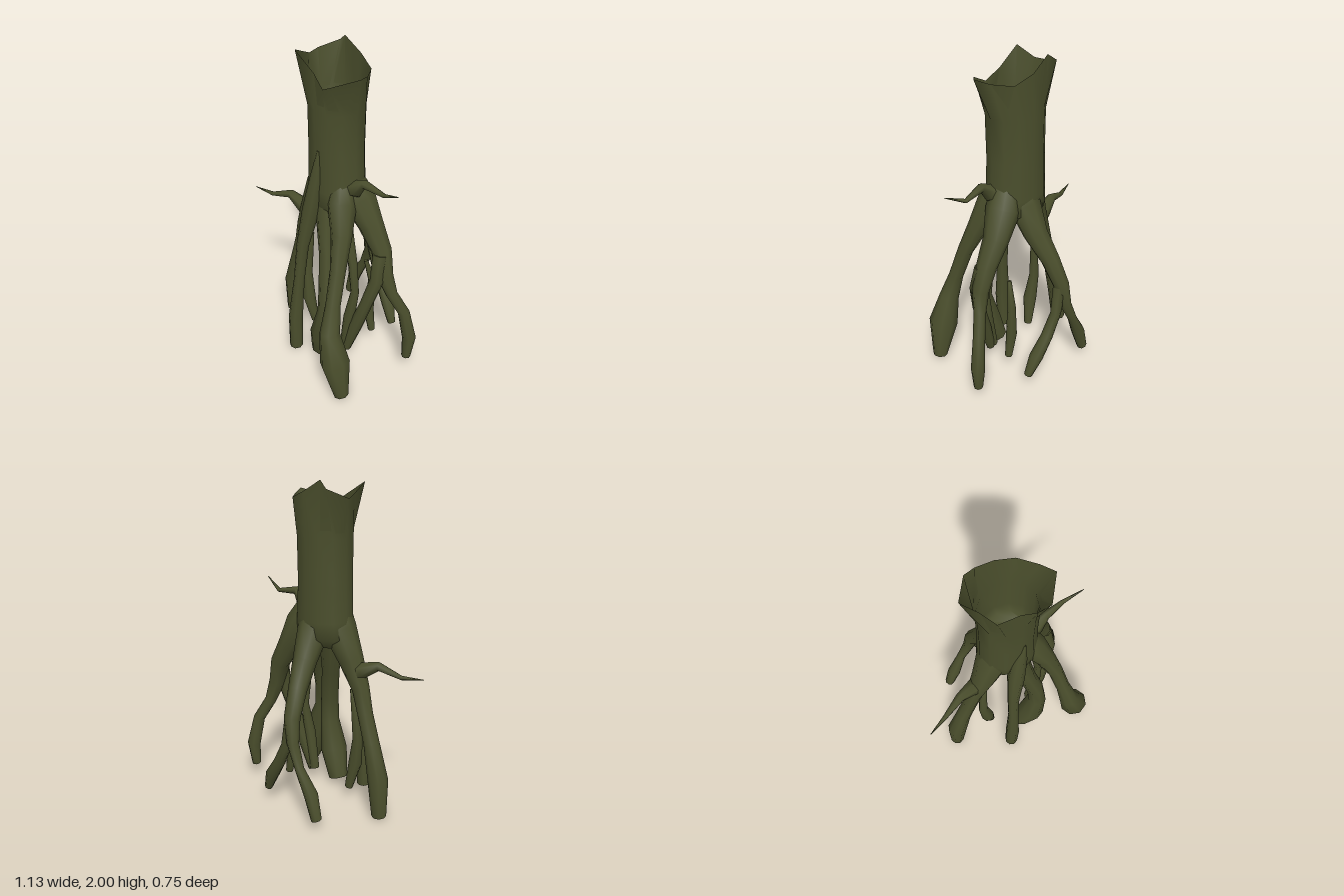
import * as THREE from 'three';

const bark = new THREE.MeshStandardMaterial({ color: 0x4a4e2c, side: THREE.DoubleSide });
bark.name = 'mossy bark';

const V = (x, y, z) => new THREE.Vector3(x, y, z);

// Skin a list of equal-sized rings, optionally closing either end with a flat cap
function loft(name, rings, capStart, capEnd) {
  const pos = [], idx = [], n = rings[0].length;
  const add = (ring) => ring.forEach((p) => pos.push(p.x, p.y, p.z));
  rings.forEach(add);
  for (let i = 0; i < rings.length - 1; i++) {
    for (let j = 0; j < n; j++) {
      const a = i * n + j, b = i * n + ((j + 1) % n);
      idx.push(a, b, a + n, b, b + n, a + n);
    }
  }
  const cap = (ring, flip) => {
    const base = pos.length / 3;
    add(ring);
    const c = ring.reduce((s, p) => s.add(p), V(0, 0, 0)).divideScalar(n);
    pos.push(c.x, c.y, c.z);
    for (let j = 0; j < n; j++) {
      const a = base + j, b = base + ((j + 1) % n);
      if (flip) idx.push(b, a, base + n);
      else idx.push(a, b, base + n);
    }
  };
  if (capStart) cap(rings[0], true);
  if (capEnd) cap(rings[rings.length - 1], false);
  const geo = new THREE.BufferGeometry();
  geo.setAttribute('position', new THREE.Float32BufferAttribute(pos, 3));
  geo.setIndex(idx);
  geo.computeVertexNormals();
  const mesh = new THREE.Mesh(geo, bark);
  mesh.name = name;
  return mesh;
}

// Tapering limb through [x, y, z, radius] stations
function limb(name, stations, sides = 8) {
  const pts = stations.map((s) => V(s[0], s[1], s[2]));
  const rings = pts.map((p, i) => {
    const before = pts[Math.max(i - 1, 0)], after = pts[Math.min(i + 1, pts.length - 1)];
    const t = after.clone().sub(before).normalize();
    const ref = Math.abs(t.y) > 0.6 ? V(0, 0, 1) : V(0, 1, 0);
    const u = ref.addScaledVector(t, -ref.dot(t)).normalize();
    const v = t.clone().cross(u);
    return Array.from({ length: sides }, (_, j) => {
      const a = (j / sides) * Math.PI * 2, r = stations[i][3];
      return p.clone().addScaledVector(u, Math.cos(a) * r).addScaledVector(v, Math.sin(a) * r);
    });
  });
  return loft(name, rings, true, true);
}

// Horizontal trunk ring
const level = (y, cx, cz, rx, rz) => Array.from({ length: 12 }, (_, j) => {
  const a = (j / 12) * Math.PI * 2;
  return V(cx + Math.sin(a) * rx, y, cz + Math.cos(a) * rz);
});

// Jagged broken edge, from the front round by the left
const rim = [
  [0.04, 1.88, 0.14], [0.13, 1.825, 0.15], [0.2, 1.86, 0.16], [0.295, 1.905, 0.04],
  [0.25, 1.89, -0.04], [0.17, 1.885, -0.13], [0.06, 1.93, -0.15], [-0.055, 2.0, -0.13],
  [-0.11, 1.96, -0.14], [-0.19, 1.91, -0.05], [-0.13, 1.92, 0.05], [-0.1, 1.97, 0.16],
].map((p) => V(...p));

const roots = {
  frontLeftRoot: [[0.14, 1.27, 0.02, 0.07], [0.18, 1.14, 0.06, 0.085], [0.245, 0.98, 0.11, 0.062], [0.3, 0.8, 0.175, 0.046],
    [0.335, 0.6, 0.235, 0.044], [0.365, 0.43, 0.28, 0.06], [0.42, 0.25, 0.285, 0.09], [0.47, 0.01, 0.275, 0.045]],
  rightRoot: [[0.0, 1.28, 0.02, 0.09], [-0.05, 1.14, 0.02, 0.1], [-0.125, 0.97, 0.04, 0.075], [-0.2, 0.8, 0.05, 0.052],
    [-0.24, 0.65, 0.05, 0.046], [-0.295, 0.48, 0.05, 0.048], [-0.355, 0.25, 0.05, 0.062], [-0.37, 0.01, 0.05, 0.045]],
  frontRoot: [[0.075, 1.45, 0.145, 0.006], [0.055, 1.28, 0.135, 0.042], [0.02, 1.05, 0.16, 0.052], [-0.015, 0.8, 0.2, 0.037],
    [-0.025, 0.55, 0.225, 0.033], [-0.04, 0.25, 0.25, 0.045], [-0.045, 0.01, 0.25, 0.042]],
  middleRoot: [[0.06, 1.22, 0.04, 0.08], [0.08, 1.02, 0.08, 0.075], [0.13, 0.8, 0.12, 0.055], [0.175, 0.6, 0.155, 0.055],
    [0.19, 0.42, 0.17, 0.06], [0.155, 0.22, 0.172, 0.085], [0.09, 0.04, 0.15, 0.06]],
  leftRoot: [[0.13, 1.27, -0.02, 0.08], [0.19, 1.14, -0.05, 0.1], [0.27, 0.99, -0.08, 0.075], [0.355, 0.85, -0.095, 0.06],
    [0.4, 0.7, -0.09, 0.05], [0.435, 0.57, -0.12, 0.036], [0.49, 0.44, -0.175, 0.036], [0.525, 0.25, -0.2, 0.042],
    [0.52, 0.1, -0.19, 0.028]],
  leftInnerRoot: [[0.37, 0.84, -0.075, 0.045], [0.39, 0.68, -0.04, 0.042], [0.35, 0.5, 0.0, 0.038],
    [0.29, 0.3, 0.03, 0.042], [0.23, 0.09, 0.05, 0.028]],
  slenderRoot: [[0.13, 1.1, 0.02, 0.05], [0.2, 0.92, 0.03, 0.035], [0.25, 0.75, 0.03, 0.028], [0.275, 0.55, 0.03, 0.025],
    [0.25, 0.35, 0.05, 0.035], [0.21, 0.1, 0.05, 0.03]],
  backRoot: [[0.06, 1.28, -0.03, 0.08], [0.06, 1.14, -0.08, 0.095], [0.045, 0.97, -0.165, 0.072], [0.01, 0.82, -0.255, 0.056],
    [-0.015, 0.67, -0.322, 0.048], [-0.04, 0.52, -0.34, 0.036], [-0.1, 0.38, -0.345, 0.028],
    [-0.175, 0.23, -0.325, 0.042], [-0.22, 0.08, -0.325, 0.032]],
  backForkRoot: [[-0.01, 0.68, -0.32, 0.04], [0.03, 0.48, -0.33, 0.032], [0.1, 0.34, -0.33, 0.036],
    [0.18, 0.22, -0.325, 0.042], [0.235, 0.1, -0.315, 0.025]],
  rightSmallRoot: [[-0.12, 0.77, 0.05, 0.006], [-0.15, 0.62, 0.06, 0.025], [-0.16, 0.45, 0.07, 0.03],
    [-0.135, 0.27, 0.08, 0.042], [-0.1, 0.09, 0.06, 0.025]],
  backSmallRoot: [[0.2, 0.68, -0.11, 0.012], [0.22, 0.52, -0.15, 0.025], [0.21, 0.3, -0.135, 0.033], [0.24, 0.14, -0.14, 0.022]],
};

const branches = {
  rightBranch: [[-0.13, 0.88, 0.04, 0.06], [-0.21, 0.92, 0.05, 0.048], [-0.31, 0.965, 0.08, 0.028],
    [-0.44, 0.92, 0.13, 0.014], [-0.56, 0.93, 0.18, 0.002]],
  leftBranch: [[0.17, 1.22, 0.005, 0.06], [0.24, 1.245, 0.005, 0.048], [0.3, 1.3, 0, 0.026],
    [0.43, 1.28, -0.03, 0.013], [0.555, 1.34, -0.015, 0.002]],
};

export function createModel() {
  const model = new THREE.Group();
  model.name = 'brokenMangroveStump';

  // Trunk shell, spreading into the roots below and flaring to the broken rim
  model.add(loft('trunk', [
    level(1.03, 0.06, 0.01, 0.12, 0.09),
    level(1.1, 0.055, 0.0, 0.19, 0.15),
    level(1.2, 0.053, 0.0, 0.18, 0.156),
    level(1.42, 0.05, 0.0, 0.172, 0.15),
    level(1.68, 0.05, 0.0, 0.174, 0.152),
    rim,
  ], true, false));

  // Deep hollow inside the thin trunk wall, sloping to a pit on the left
  model.add(loft('hollow', [
    rim,
    level(1.68, 0.05, 0, 0.164, 0.142),
    level(1.42, 0.05, 0, 0.162, 0.14),
    level(1.36, 0.06, 0, 0.14, 0.12),
    level(1.31, 0.14, 0, 0.05, 0.05),
  ], false, true));

  const rootGroup = new THREE.Group();
  rootGroup.name = 'roots';
  for (const [name, path] of Object.entries(roots)) rootGroup.add(limb(name, path));
  model.add(rootGroup);

  const branchGroup = new THREE.Group();
  branchGroup.name = 'branches';
  for (const [name, path] of Object.entries(branches)) branchGroup.add(limb(name, path, 6));
  model.add(branchGroup);
  return model;
}
